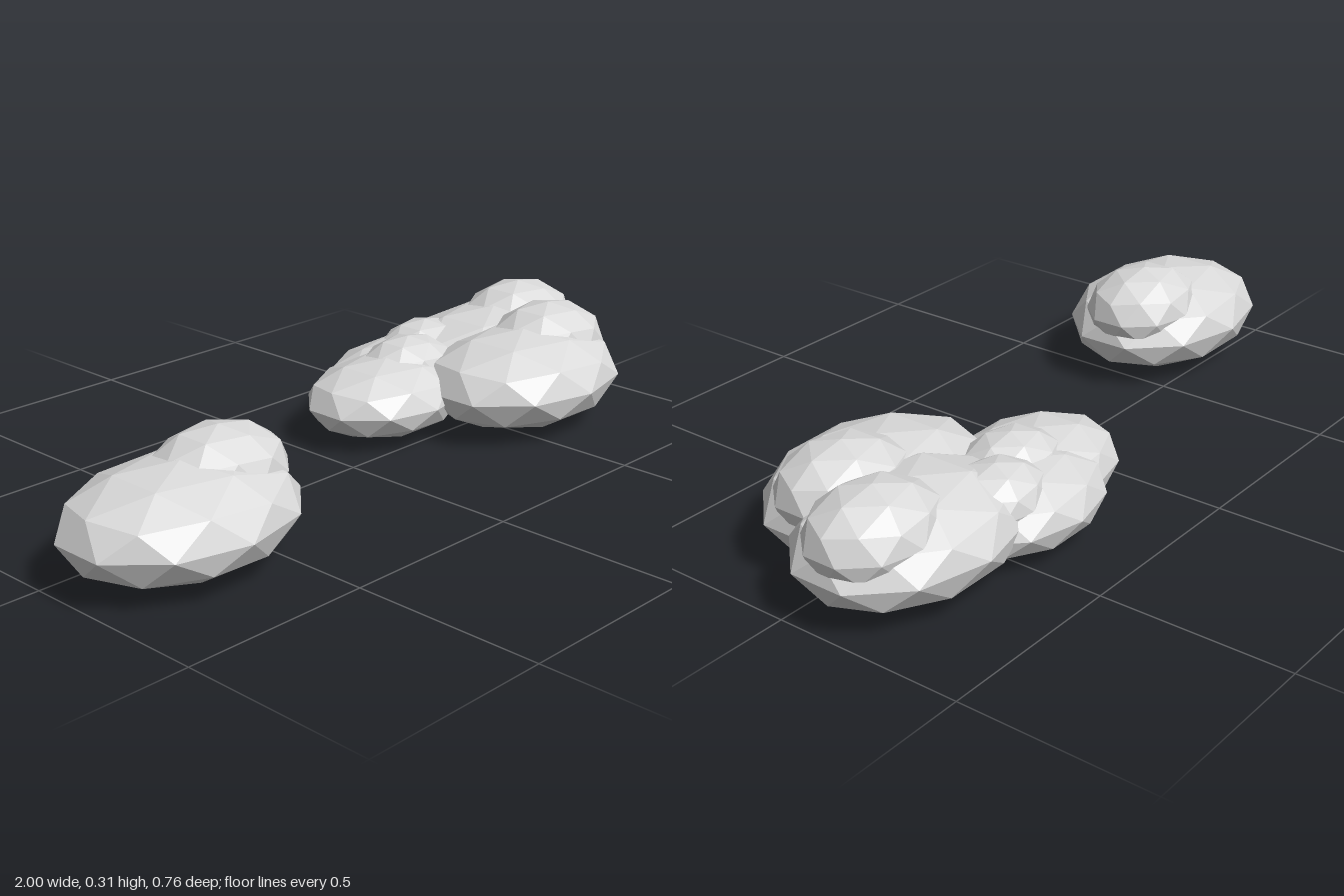
import * as THREE from 'three';

export function createModel() {
  const model = new THREE.Group();
  model.name = 'clouds';
  const cloudGrey = new THREE.MeshStandardMaterial({ color: 0xd9d9d9, flatShading: true });
  cloudGrey.name = 'cloudGrey';

  // Faceted ball with a vertex at each pole, squashed to the given radii
  function blob(name, [x, y, z], [rx, ry, rz]) {
    const g = new THREE.IcosahedronGeometry(1, 1);
    g.rotateZ(Math.atan(2 / (1 + Math.sqrt(5))));
    g.rotateY(Math.PI);
    g.scale(rx, ry, rz);
    g.computeVertexNormals();
    const mesh = new THREE.Mesh(g, cloudGrey);
    mesh.name = name;
    mesh.position.set(x, y, z);
    return mesh;
  }

  // One cloud: a wide body with a smaller puff on its upper +x side
  function cloud(name, x, y, z, s) {
    const group = new THREE.Group();
    group.name = name;
    group.add(
      blob('body', [0, 0, 0], [0.315 * s, 0.132 * s, 0.238 * s]),
      blob('puff', [0.13 * s, 0.063 * s, -0.018 * s], [0.182 * s, 0.114 * s, 0.147 * s]),
    );
    group.position.set(x, y, z);
    return group;
  }

  model.add(
    cloud('loneCloud', -0.7, 0.132, 0.14, 1),
    cloud('frontCloud', 0.587, 0.132, 0.084, 1),
    cloud('leftCloud', 0.7, 0.132, -0.114, 1),
    cloud('smallInnerCloud', 0.257, 0.107, -0.123, 0.79),
    cloud('smallBackCloud', 0.405, 0.107, -0.193, 0.79),
  );
  return model;
}
